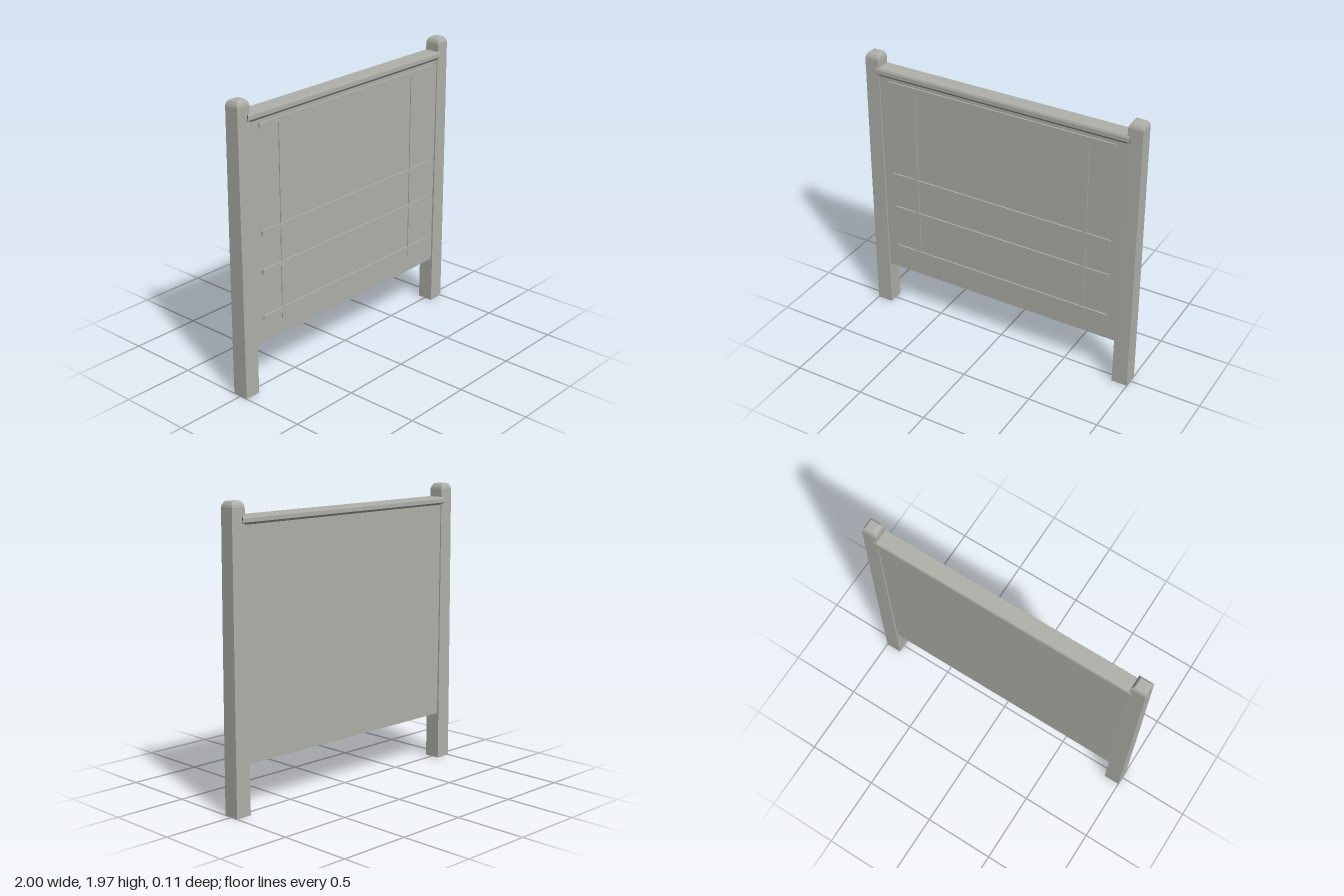
import * as THREE from 'three';

export function createModel() {
  const model = new THREE.Group();
  model.name = 'noticeBoard';
  const wood = new THREE.MeshStandardMaterial({ color: 0xb1b1ab });
  wood.name = 'weathered grey wood';
  const darkWood = new THREE.MeshStandardMaterial({ color: 0x5e5e5b });
  darkWood.name = 'dark end grain';

  function add(name, geometry, material = wood, x = 0, y = 0, z = 0) {
    const mesh = new THREE.Mesh(geometry, material);
    mesh.name = name;
    mesh.position.set(x, y, z);
    model.add(mesh);
  }

  // Box given by its edges
  function slab(name, x0, x1, y0, y1, z0, z1, material) {
    add(name, new THREE.BoxGeometry(x1 - x0, y1 - y0, z1 - z0), material,
      (x0 + x1) / 2, (y0 + y1) / 2, (z0 + z1) / 2);
  }

  // Square post: half width and height, tapering up to a bevelled cap
  const profile = [[0, 0], [0.056, 0], [0.055, 0.5], [0.053, 1.15], [0.05, 1.93],
    [0.046, 1.945], [0.037, 1.961], [0.03, 1.966], [0, 1.966]]
    .map(([half, y]) => new THREE.Vector2(half * Math.SQRT2, y));
  const post = new THREE.LatheGeometry(profile, 4, Math.PI / 4).toNonIndexed();
  post.computeVertexNormals();
  add('leftPost', post, wood, 0.944);
  add('rightPost', post, wood, -0.944);

  // Main board between the posts, with a dark lower edge
  slab('boardPanel', -0.91, 0.91, 0.328, 1.84, -0.043, 0.043,
    [wood, wood, wood, darkWood, wood, wood]);

  // Top rail with chamfered edges and dark ends, lapping slightly over the posts
  const rail = new THREE.Shape([[-0.049, 1.828], [0.049, 1.828], [0.057, 1.836],
    [0.057, 1.862], [0.052, 1.875], [-0.052, 1.875], [-0.057, 1.862], [-0.057, 1.836]]
    .map(([z, y]) => new THREE.Vector2(z, y)));
  const railGeometry = new THREE.ExtrudeGeometry(rail, { depth: 1.83, bevelEnabled: false });
  railGeometry.translate(0, 0, -0.915).rotateY(Math.PI / 2);
  add('topRail', railGeometry, [darkWood, wood]);

  // Dark underside of the rail
  slab('railUnderside', -0.9, 0.9, 1.822, 1.829, -0.049, 0.049, darkWood);

  // Thin battens on the front face
  for (const x of [-0.635, 0.63]) {
    slab('uprightBatten', x - 0.017, x + 0.017, 0.445, 1.775, 0.04, 0.049);
  }
  for (const y of [0.503, 0.823, 1.085, 1.779]) {
    slab('crossBatten', -0.82, 0.82, y - 0.018, y + 0.018, 0.04, 0.053);
  }
  return model;
}
